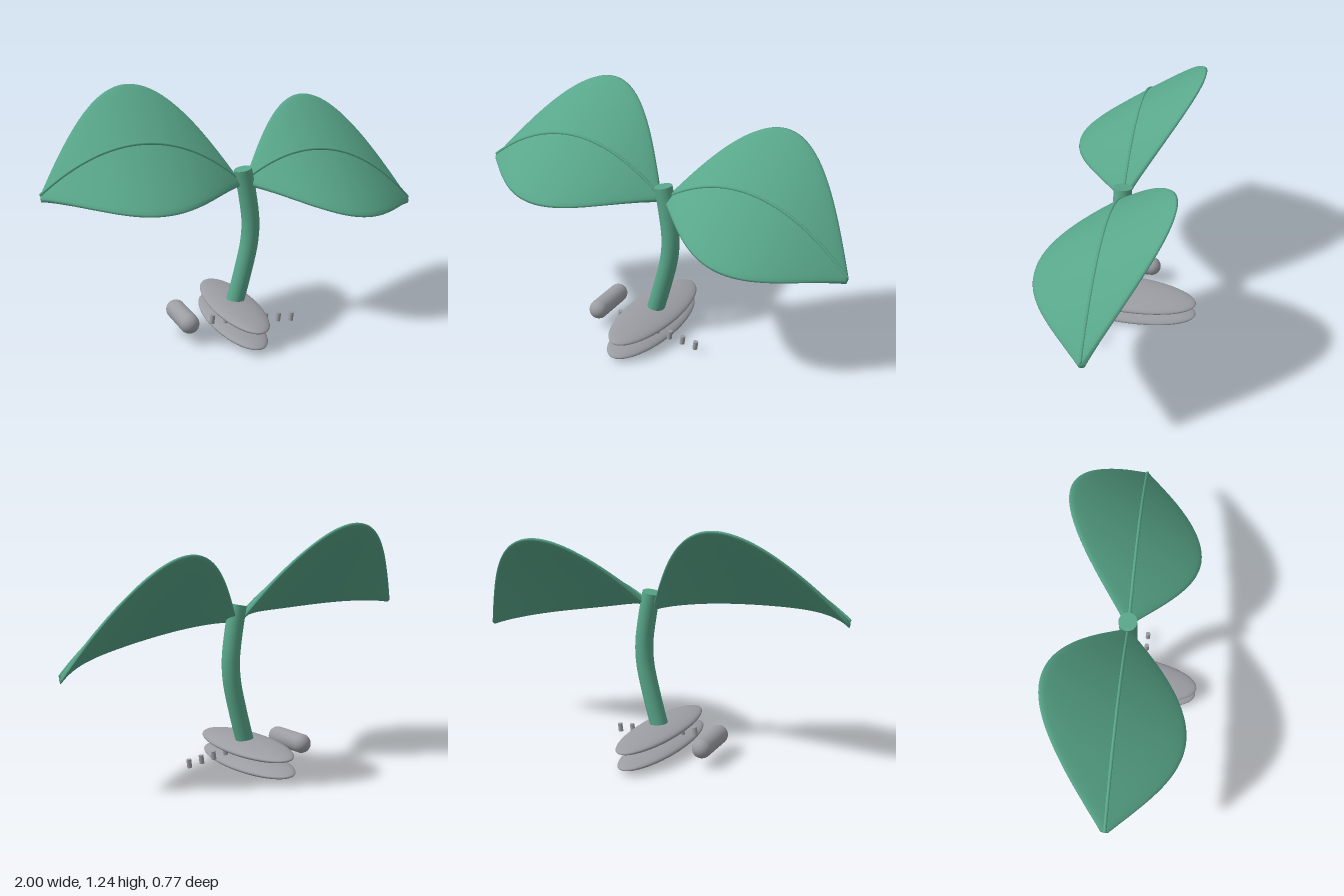
import * as THREE from 'three';

const V = (x, y, z = 0) => new THREE.Vector3(x, y, z);

// Closed leaf blade: thin rounded cross-sections swept along the midrib curve, tilted down to the front
function leafBlade(curve, dir, width) {
  const rows = 48, sides = 32, pos = [], idx = [];
  const slope = 0.73, shear = 0.09, len = Math.hypot(1, slope);
  for (let i = -1; i <= rows + 1; i++) {
    const t = THREE.MathUtils.clamp(i / rows, 0, 1);
    const close = i < 0 || i > rows ? 0 : 1;
    const p = curve.getPoint(t);
    const w = (0.014 + (width - 0.014) * Math.sin(Math.PI * t)) * close;
    for (let j = 0; j < sides; j++) {
      const a = (j / sides) * Math.PI * 2;
      const z = dir * Math.cos(a) * w;
      const s = Math.sin(a);
      const h = 0.016 * Math.sign(s) * Math.pow(Math.abs(s), 0.5) * close;
      pos.push(p.x - shear * z, p.y - slope * z + h / len, z + (h * slope) / len);
    }
  }
  for (let i = 0; i < rows + 2; i++) {
    for (let j = 0; j < sides; j++) {
      const k = (j + 1) % sides;
      const a = i * sides + j, b = a + sides, c = i * sides + k, d = c + sides;
      idx.push(a, b, c, b, d, c);
    }
  }
  const g = new THREE.BufferGeometry();
  g.setAttribute('position', new THREE.Float32BufferAttribute(pos, 3));
  g.setIndex(idx);
  g.computeVertexNormals();
  return g;
}

export function createModel() {
  const model = new THREE.Group();
  model.name = 'sprout';
  const green = new THREE.MeshStandardMaterial({ color: 0x58a68a });
  green.name = 'leaf green';
  const grey = new THREE.MeshStandardMaterial({ color: 0x9b9da3 });
  grey.name = 'stone grey';

  const add = (name, geometry, material, parent = model) => {
    const mesh = new THREE.Mesh(geometry, material);
    mesh.name = name;
    parent.add(mesh);
    return mesh;
  };

  // Curved stem with flat ends
  const stemPath = new THREE.CatmullRomCurve3([
    V(-0.03, 0.12), V(0.02, 0.3), V(0.056, 0.46), V(0.062, 0.57), V(0.045, 0.71), V(0.02, 0.843),
  ]);
  const stemRadius = 0.046;
  add('stem', new THREE.TubeGeometry(stemPath, 48, stemRadius, 24), green);
  for (const [name, t, sign] of [['stemTop', 1, 1], ['stemBottom', 0, -1]]) {
    const cap = add(name, new THREE.CircleGeometry(stemRadius, 24), green);
    cap.position.copy(stemPath.getPoint(t));
    cap.quaternion.setFromUnitVectors(V(0, 0, 1), stemPath.getTangent(t).multiplyScalar(sign));
  }

  // Two arched leaves, each with a thin raised midrib
  const leaves = [
    ['leftLeaf', 1, V(0.04, 0.772), V(0.51, 1.085), V(0.988, 0.568)],
    ['rightLeaf', -1, V(0, 0.772), V(-0.48, 1.215), V(-0.993, 0.81)],
  ];
  for (const [name, dir, p0, p1, p2] of leaves) {
    const leaf = new THREE.Group();
    leaf.name = name;
    model.add(leaf);
    const curve = new THREE.QuadraticBezierCurve3(p0, p1, p2);
    add('blade', leafBlade(curve, dir, 0.335), green, leaf);
    const rib = add('midrib', new THREE.TubeGeometry(curve, 48, 0.008, 8), green, leaf);
    rib.position.set(0, 0.018, 0.003);
    const tip = add('midribTip', new THREE.SphereGeometry(0.008, 8, 6), green, leaf);
    tip.position.copy(p2).add(rib.position);
  }

  // Two flattened, lengthwise base discs
  for (const [name, x, y] of [['upperDisc', -0.032, 0.122], ['lowerDisc', -0.042, 0.04]]) {
    const disc = add(name, new THREE.SphereGeometry(1, 48, 24), grey);
    disc.scale.set(0.132, 0.033, 0.385);
    disc.position.set(x, y, 0);
    disc.rotation.set(0, -0.05, -0.1);
  }

  // Rounded bar beside the base
  const bar = add('bar', new THREE.CapsuleGeometry(0.05, 0.2, 8, 24), grey);
  bar.rotation.x = Math.PI / 2;
  bar.position.set(-0.312, 0.105, 0);

  // Sloping row of small pegs
  for (let i = 0; i < 7; i++) {
    const peg = add('peg', new THREE.CylinderGeometry(0.0125, 0.0125, 0.044, 16), grey);
    peg.position.set(-0.185 + i * 0.0735, 0.104 - i * 0.0098, 0.09);
    peg.rotation.z = -0.13;
  }
  return model;
}
